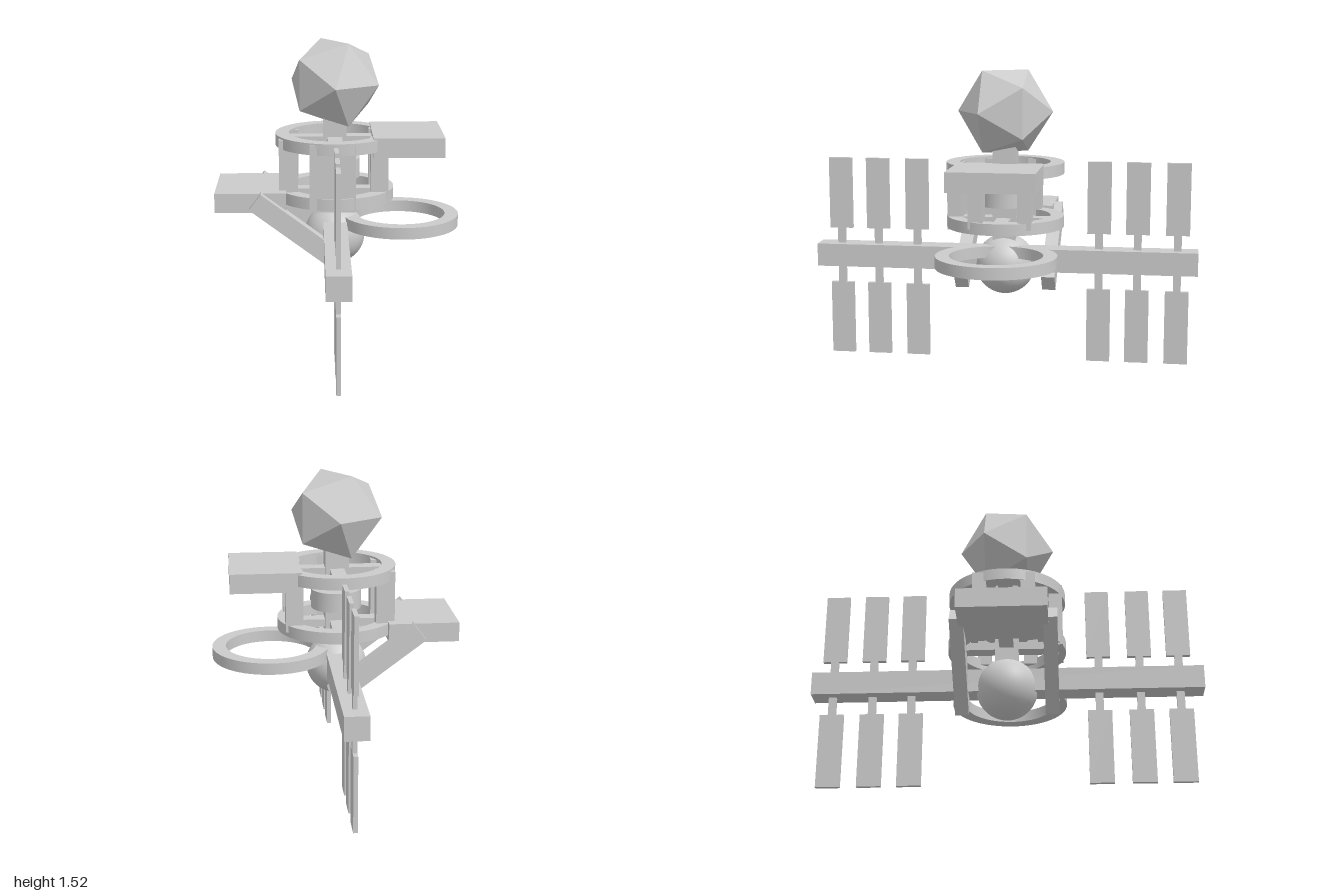
import * as THREE from 'three';
import { toCreasedNormals } from 'three/addons/utils/BufferGeometryUtils.js';

const CX = -0.02; // x of the station's central axis

export function createModel() {
  const model = new THREE.Group();
  const grey = new THREE.MeshStandardMaterial({ color: 0xcccccc });
  const faceted = new THREE.MeshStandardMaterial({ color: 0xcccccc, flatShading: true });

  function add(name, geometry, x, y, z, material = grey) {
    const mesh = new THREE.Mesh(geometry, material);
    mesh.name = name;
    mesh.position.set(x, y, z);
    model.add(mesh);
    return mesh;
  }
  // Box given by its lower and upper limits on each axis
  function box(name, [x0, x1], [y0, y1], [z0, z1]) {
    return add(name, new THREE.BoxGeometry(x1 - x0, y1 - y0, z1 - z0),
      (x0 + x1) / 2, (y0 + y1) / 2, (z0 + z1) / 2);
  }

  // Faceted dome on top
  const dome = add('dome', new THREE.IcosahedronGeometry(0.247, 0), CX, 1.31, 0, faceted);
  dome.rotation.y = -1.017;

  // Central column, inner drum and bottom sphere
  box('column', [CX - 0.06, CX + 0.06], [0.6, 1.13], [-0.06, 0.06]);
  add('drum', toCreasedNormals(new THREE.CylinderGeometry(0.13, 0.13, 0.1, 40), 0.6), CX, 0.87, 0);
  add('sphere', new THREE.SphereGeometry(0.157, 40, 24), CX, 0.51, 0);

  // Flat rings: two around the column, one to the side
  const profile = [[0.305, -0.03], [0.305, 0.03], [0.235, 0.03], [0.235, -0.03], [0.305, -0.03]]
    .map(([r, y]) => new THREE.Vector2(r, y));
  const ringGeometry = toCreasedNormals(new THREE.LatheGeometry(profile, 64), 0.6);
  add('upperRing', ringGeometry, CX, 1.02, 0);
  add('lowerRing', ringGeometry, CX, 0.74, 0);
  add('sideRing', ringGeometry, 0.32, 0.59, 0);

  // Cross spokes holding the two central rings
  for (const y of [1.015, 0.74]) {
    box('spokeAcross', [CX - 0.27, CX + 0.27], [y - 0.02, y + 0.02], [-0.037, 0.037]);
    box('spokeAlong', [CX - 0.037, CX + 0.037], [y - 0.02, y + 0.02], [-0.27, 0.27]);
  }

  // Front panel and side posts between the rings
  box('frontPanel', [-0.15, 0.08], [0.7, 1.04], [0.22, 0.29]);
  for (const [z0, z1] of [[0.08, 0.155], [-0.165, -0.095]]) {
    box('leftPost', [0.16, 0.25], [0.735, 1.045], [z0, z1]);
    box('rightPost', [-0.305, -0.21], [0.7, 1.04], [z0, z1]);
  }

  // Landing platforms
  box('leftPlatform', [0.17, 0.53], [0.96, 1.06], [-0.22, 0.22]);
  box('rightPlatform', [-0.63, -0.27], [0.68, 0.78], [-0.22, 0.22]);

  // Slanted arms under the lower platform
  for (const side of [-1, 1]) {
    const arm = add('slantedArm', new THREE.BoxGeometry(0.55, 0.1, 0.07), -0.205, 0.58, side * 0.23);
    arm.rotation.z = -0.644;
  }

  // Long beam with panels above and below
  box('beam', [CX - 0.06, CX + 0.06], [0.48, 0.6], [-1, 1]);
  const thick = [CX - 0.011, CX + 0.011];
  for (const z of [0.88, 0.68, 0.47, -0.49, -0.69, -0.895]) {
    box('panelStem', thick, [0.37, 0.69], [z - 0.02, z + 0.02]);
    box('upperPanel', thick, [0.68, 1.055], [z - 0.061, z + 0.061]);
    box('lowerPanel', thick, [0, 0.385], [z - 0.061, z + 0.061]);
  }

  return model;
}
